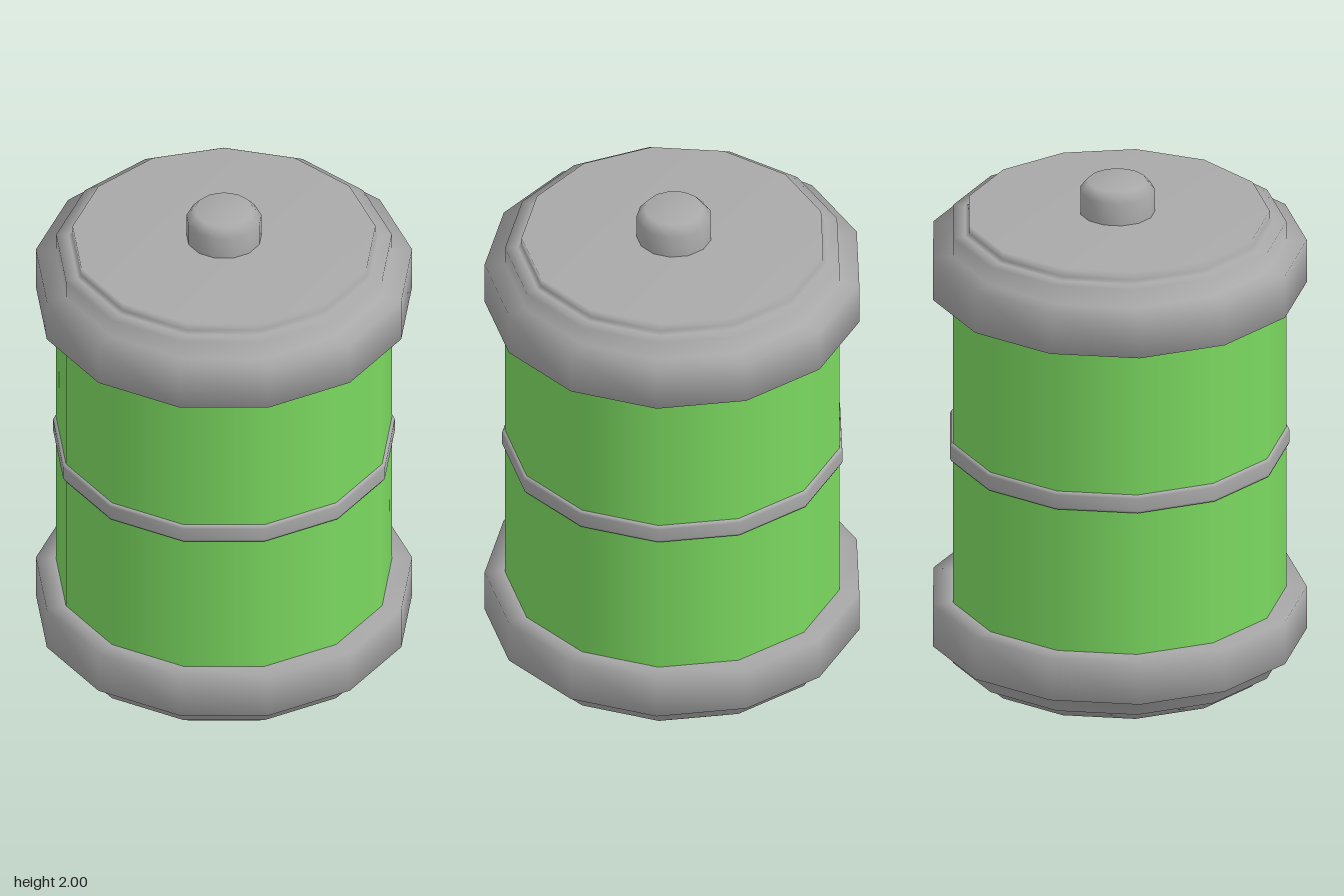
import * as THREE from 'three';

const SIDES = 13;
const AXIS_Z = 0.01; // an odd polygon's axis sits slightly off its bounding centre

export function createModel() {
  const model = new THREE.Group();
  model.name = 'canister';
  const metal = new THREE.MeshStandardMaterial({ color: 0xa9a9a9 });
  metal.name = 'grey metal';
  const glow = new THREE.MeshStandardMaterial({ color: 0x7bd960 });
  glow.name = 'green shell';

  // Turned part from [radius, y] points listed bottom to top, one corner at the back
  function turned(name, material, points) {
    const profile = points.map(([r, y]) => new THREE.Vector2(r, y));
    const mesh = new THREE.Mesh(new THREE.LatheGeometry(profile, SIDES, Math.PI), material);
    mesh.name = name;
    mesh.position.z = AXIS_Z;
    model.add(mesh);
  }

  // Green shell, running slightly into both caps
  turned('shell', glow, [[0.604, 0.4], [0.604, 1.615]]);

  // Thin band around the middle
  turned('middleBand', metal, [
    [0.6, 0.966], [0.611, 0.968], [0.615, 0.978], [0.615, 1.025], [0.611, 1.035], [0.6, 1.037],
  ]);

  // Stepped end caps; the bottom one is the top one flipped
  const cap = [
    [0.6, 1.603], [0.677, 1.603], [0.677, 1.767], [0.604, 1.767], [0.604, 1.839],
    [0.558, 1.839], [0.545, 1.85], [0.545, 1.881], [0, 1.881],
  ];
  // Bevelled terminal knobs
  const knob = [[0.135, 1.87], [0.135, 1.965], [0.106, 2], [0, 2]];
  const flip = (points, sum) => points.map(([r, y]) => [r, sum - y]).reverse();

  turned('topCap', metal, cap);
  turned('bottomCap', metal, flip(cap, 2.016));
  turned('topKnob', metal, knob);
  turned('bottomKnob', metal, flip([[0.135, 1.85], ...knob.slice(1)], 2));

  return model;
}
